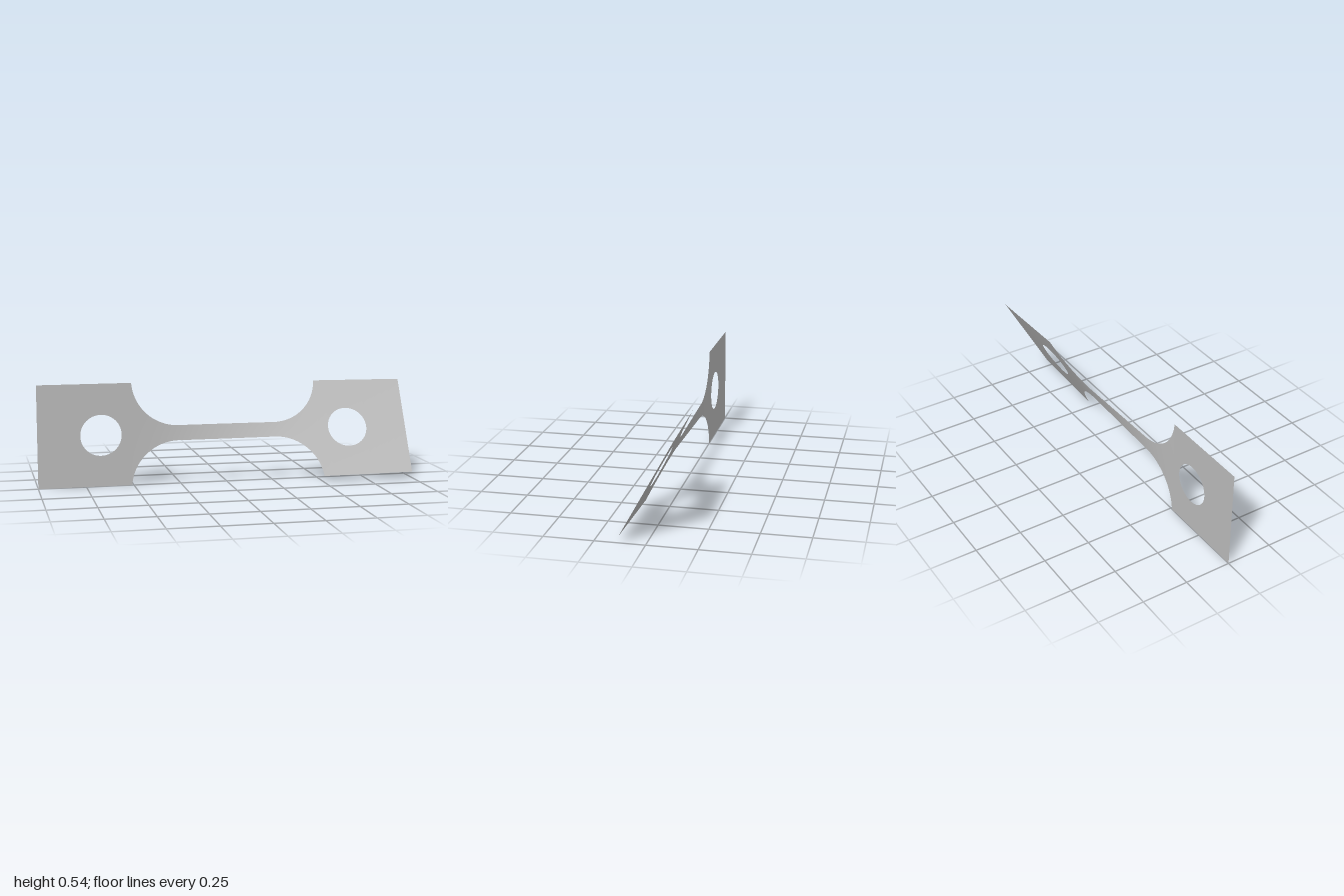
import * as THREE from 'three';

const MID_Y = 0.271;    // height of the twist axis
const HEAD = 0.271;     // half width of the end plates
const NECK = 0.04;      // half width of the neck
const SHOULDER = 0.51;  // where the fillets meet the end plates
const FILLET = 0.25;
const FILLET_X = 0.26;  // where the fillets leave the neck
const HOLE_X = 0.67;
const HOLE_R = 0.108;

// Half width of the neck and fillets at x
function neckHalf(x) {
  const d = Math.max(0, Math.abs(x) - FILLET_X);
  return Math.min(HEAD, NECK + FILLET - Math.sqrt(Math.max(0, FILLET * FILLET - d * d)));
}

// Half height of the hole at x
function holeHalf(x) {
  const d = Math.abs(x) - HOLE_X;
  return Math.sqrt(Math.max(0, HOLE_R * HOLE_R - d * d));
}

// The left plate stays flat; further on the sheet twists faster where it is narrower
function twist(x) {
  const n = 200;
  const step = Math.max(0, x + SHOULDER) / n;
  let angle = 0;
  for (let i = 0; i < n; i++) {
    const p = -SHOULDER + (i + 0.5) * step;
    const half = Math.abs(p) < SHOULDER ? neckHalf(p) : HEAD;
    angle += (0.0228 / half) * step;
  }
  return angle;
}

// Sheet between two edge curves, from x0 to x1, bent by the twist
function addSheet(group, material, name, x0, x1, low, high, columns) {
  const rows = 8;
  const positions = [];
  const indices = [];
  for (let i = 0; i <= columns; i++) {
    // Samples gather at both ends, where the arcs are steep
    const t = (1 - Math.cos((Math.PI * i) / columns)) / 2;
    const x = x0 + (x1 - x0) * t;
    const angle = twist(x);
    for (let j = 0; j <= rows; j++) {
      const v = low(x) + (high(x) - low(x)) * (j / rows);
      positions.push(x, MID_Y + v * Math.cos(angle), -v * Math.sin(angle));
      if (i < columns && j < rows) {
        const a = i * (rows + 1) + j;
        const b = a + rows + 1;
        indices.push(a, b, b + 1, a, b + 1, a + 1);
      }
    }
  }
  const geometry = new THREE.BufferGeometry();
  geometry.setAttribute('position', new THREE.Float32BufferAttribute(positions, 3));
  geometry.setIndex(indices);
  geometry.computeVertexNormals();
  const mesh = new THREE.Mesh(geometry, material);
  mesh.name = name;
  group.add(mesh);
}

export function createModel() {
  const model = new THREE.Group();
  model.name = 'twistedTestStrip';
  const metal = new THREE.MeshStandardMaterial({ color: 0xbcbcbc, side: THREE.DoubleSide });
  metal.name = 'grey metal';

  const top = () => HEAD;
  const bottom = () => -HEAD;

  // End plates: solid strips on both sides of a hole split into two halves
  for (const [side, name] of [[-1, 'rightPlate'], [1, 'leftPlate']]) {
    const plate = new THREE.Group();
    plate.name = name;
    const span = (a, b) => (side > 0 ? [a, b] : [-b, -a]);
    const inner = span(SHOULDER, HOLE_X - HOLE_R);
    const hole = span(HOLE_X - HOLE_R, HOLE_X + HOLE_R);
    const outer = span(HOLE_X + HOLE_R, 1);
    addSheet(plate, metal, 'innerStrip', ...inner, bottom, top, 4);
    addSheet(plate, metal, 'aboveHole', ...hole, holeHalf, top, 40);
    addSheet(plate, metal, 'belowHole', ...hole, bottom, (x) => -holeHalf(x), 40);
    addSheet(plate, metal, 'outerStrip', ...outer, bottom, top, 8);
    model.add(plate);
  }

  // Neck with its fillets
  const low = (x) => -neckHalf(x);
  addSheet(model, metal, 'rightFillet', -SHOULDER, -FILLET_X, low, neckHalf, 32);
  addSheet(model, metal, 'neck', -FILLET_X, FILLET_X, low, neckHalf, 32);
  addSheet(model, metal, 'leftFillet', FILLET_X, SHOULDER, low, neckHalf, 32);

  return model;
}
